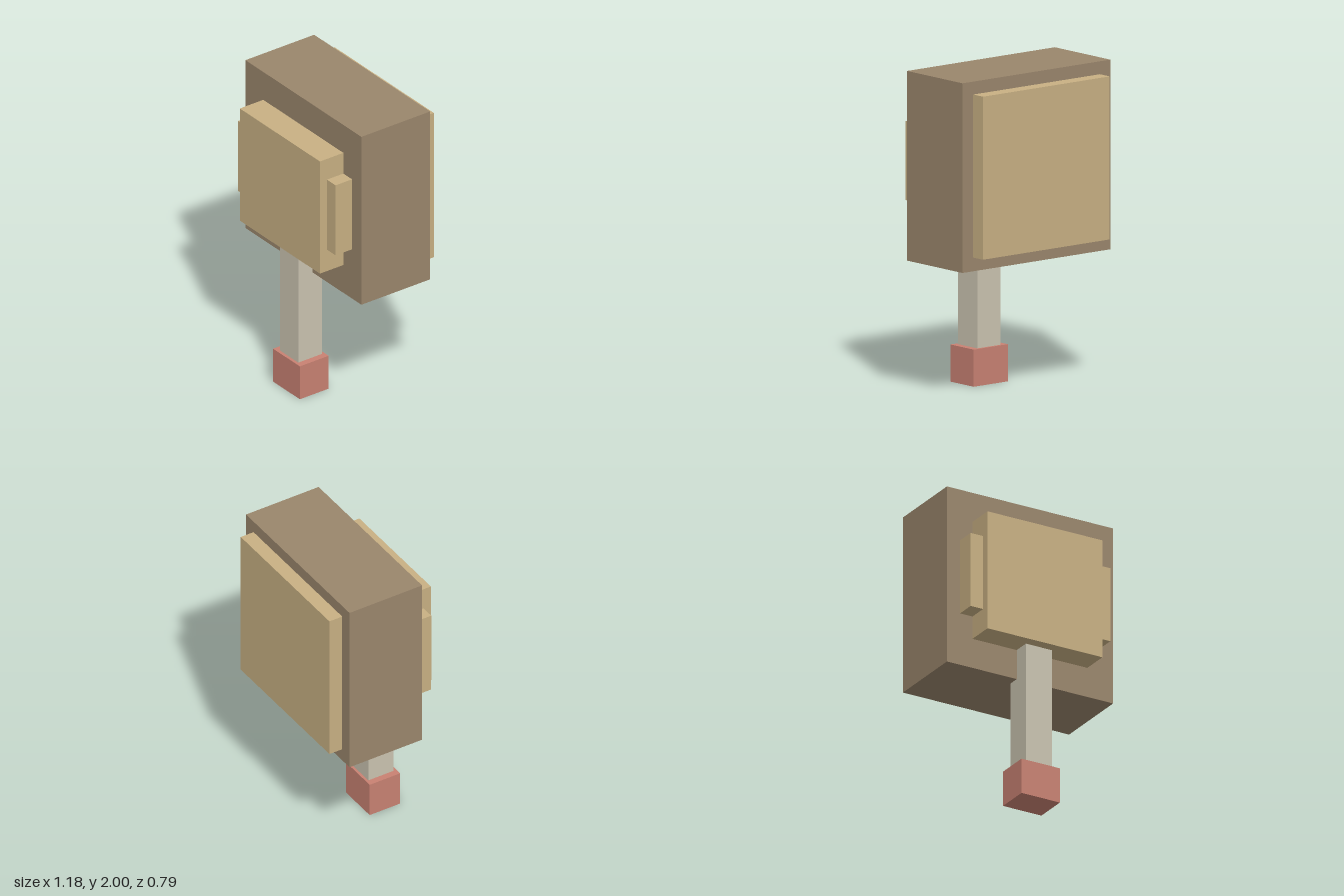
import * as THREE from 'three';

const material = (name, color) => {
  const m = new THREE.MeshStandardMaterial({ color });
  m.name = name;
  return m;
};

export function createModel() {
  const model = new THREE.Group();
  model.name = 'malletShapedBlock';

  const brown = material('brown', 0x9a866c);
  const tan = material('tan', 0xc8b083);
  const stone = material('paleStone', 0xcac3b0);
  const red = material('dustyRed', 0xc88172);

  // Adds a box given by its extents along each axis
  const addBox = (name, mat, [x0, x1], [y0, y1], [z0, z1]) => {
    const mesh = new THREE.Mesh(new THREE.BoxGeometry(x1 - x0, y1 - y0, z1 - z0), mat);
    mesh.position.set((x0 + x1) / 2, (y0 + y1) / 2, (z0 + z1) / 2);
    mesh.name = name;
    model.add(mesh);
  };

  // Large block with raised panels front and back
  addBox('body', brown, [-0.59, 0.588], [0.825, 2], [-0.305, 0.217]);
  addBox('backPanel', tan, [-0.507, 0.503], [0.91, 1.92], [-0.397, -0.305]);
  addBox('frontPanel', tan, [-0.409, 0.405], [1.02, 1.805], [0.217, 0.395]);

  // Narrow side tabs beside the front panel
  addBox('rightTab', tan, [-0.497, -0.409], [1.17, 1.66], [0.217, 0.342]);
  addBox('leftTab', tan, [0.405, 0.493], [1.17, 1.66], [0.217, 0.342]);

  // Stem hanging below the front panel, ending in a foot block
  addBox('stem', stone, [-0.095, 0.091], [0.23, 1.02], [0.143, 0.325]);
  addBox('foot', red, [-0.138, 0.134], [0, 0.23], [0.126, 0.345]);

  return model;
}
